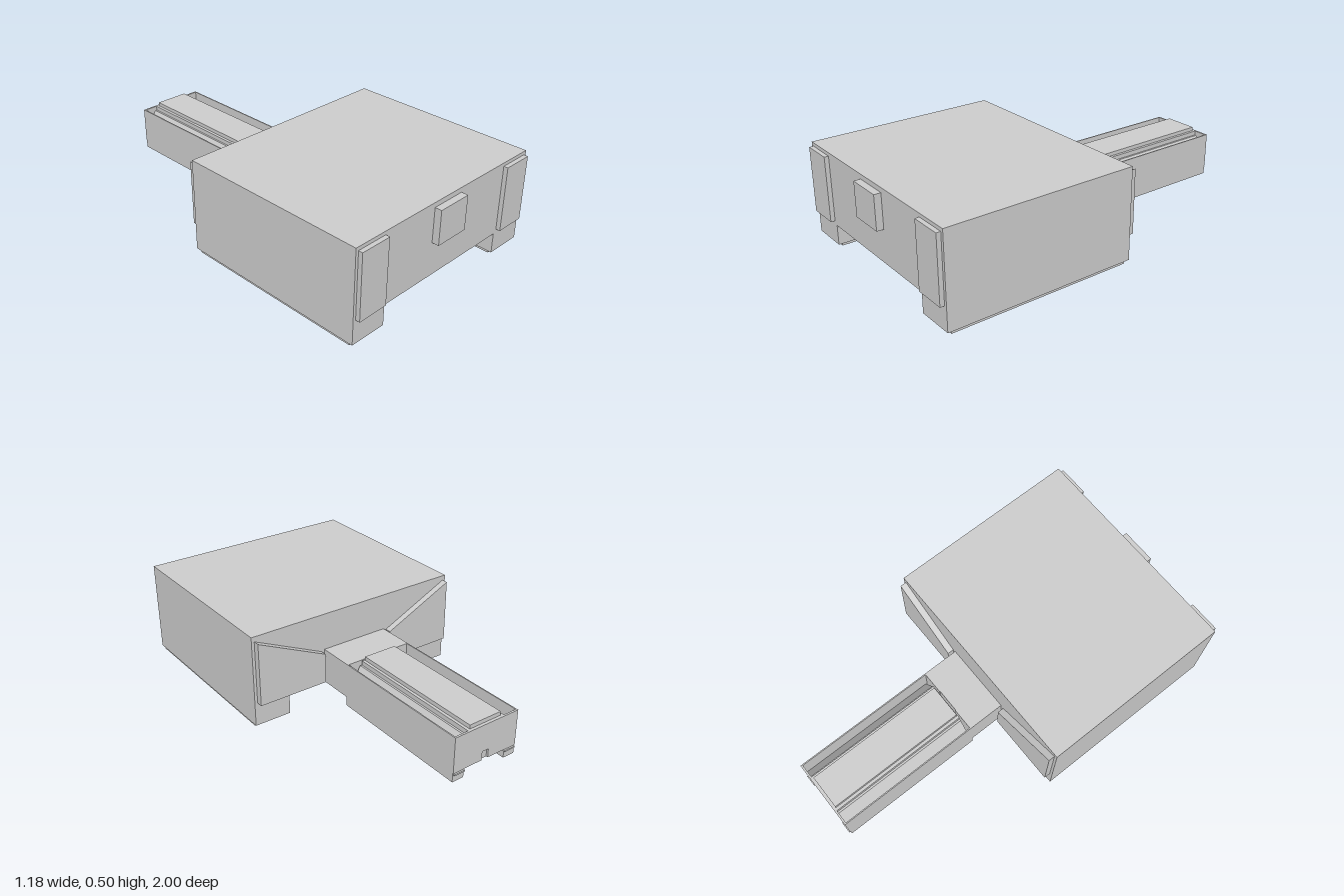
import * as THREE from 'three';

const material = new THREE.MeshStandardMaterial({ color: 0xcccccc, flatShading: true });

function add(group, name, geometry) {
  const mesh = new THREE.Mesh(geometry, material);
  mesh.name = name;
  group.add(mesh);
  return mesh;
}

// Box given by its limits on each axis
function box(group, name, [x0, x1], [y0, y1], [z0, z1]) {
  const geometry = new THREE.BoxGeometry(x1 - x0, y1 - y0, z1 - z0);
  geometry.translate((x0 + x1) / 2, (y0 + y1) / 2, (z0 + z1) / 2);
  return add(group, name, geometry);
}

// Outline in x and y, pushed from z0 to z1
function prism(group, name, points, z0, z1) {
  const shape = new THREE.Shape(points.map(([x, y]) => new THREE.Vector2(x, y)));
  const geometry = new THREE.ExtrudeGeometry(shape, { depth: z1 - z0, bevelEnabled: false });
  geometry.translate(0, 0, z0);
  return add(group, name, geometry);
}

// Completes a right-to-left symmetric outline from its +x half
function symmetric(half) {
  return [...half, ...half.map(([x, y]) => [-x, y]).reverse()];
}

export function createModel() {
  const model = new THREE.Group();
  model.name = 'footModule';

  // Main block with a long channel underneath
  prism(model, 'mainBody', symmetric([
    [0.395, 0.12], [0.395, 0.015], [0.59, 0.015], [0.59, 0.495],
  ]), -0.045, 0.965);
  box(model, 'frontCentrePanel', [-0.093, 0.093], [0.293, 0.47], [0.965, 1]);

  for (const [side, s] of [['left', 1], ['right', -1]]) {
    const span = (a, b) => (s > 0 ? [a, b] : [-b, -a]);
    box(model, side + 'Sole', span(0.403, 0.583), [0, 0.015], [-0.022, 0.943]);
    box(model, side + 'FrontPanel', span(0.412, 0.575), [0.138, 0.477], [0.965, 0.987]);

    // Back panel, its upper edge falling towards the arm
    prism(model, side + 'BackPanel',
      [[0.2, 0.138], [0.575, 0.138], [0.575, 0.47], [0.2, 0.295]].map(([x, y]) => [s * x, y]),
      -0.078, -0.045);

    // Arm side: thin wall, under-rail and the plate at its front end
    box(model, side + 'ArmWall', span(0.178, 0.184), [0.073, 0.303], [-0.992, -0.238]);
    box(model, side + 'ArmRail', span(0.12, 0.178), [0.073, 0.12], [-0.992, -0.238]);
    box(model, side + 'ArmFrontPlate', span(0.063, 0.184), [0.073, 0.303], [-0.238, -0.228]);
    box(model, side + 'RearToe', span(0.12, 0.18), [0.108, 0.116], [-1, -0.992]);
  }

  // Neck joining the block and the arm
  box(model, 'neck', [-0.184, 0.184], [0.12, 0.303], [-0.235, -0.045]);

  // Arm core with sloping flanks, leaving a trough beside each wall
  prism(model, 'armCore', symmetric([
    [0.178, 0.12], [0.178, 0.18], [0.115, 0.28], [0.105, 0.28], [0.105, 0.303],
  ]), -0.985, -0.245);
  box(model, 'armTopStrip', [-0.09, 0.09], [0.303, 0.323], [-0.98, -0.25]);

  // End plate with a small slot in its lower edge
  prism(model, 'armEndPlate', symmetric([
    [0.018, 0.165], [0.018, 0.12], [0.184, 0.12], [0.184, 0.303],
  ]), -0.995, -0.985);

  return model;
}
